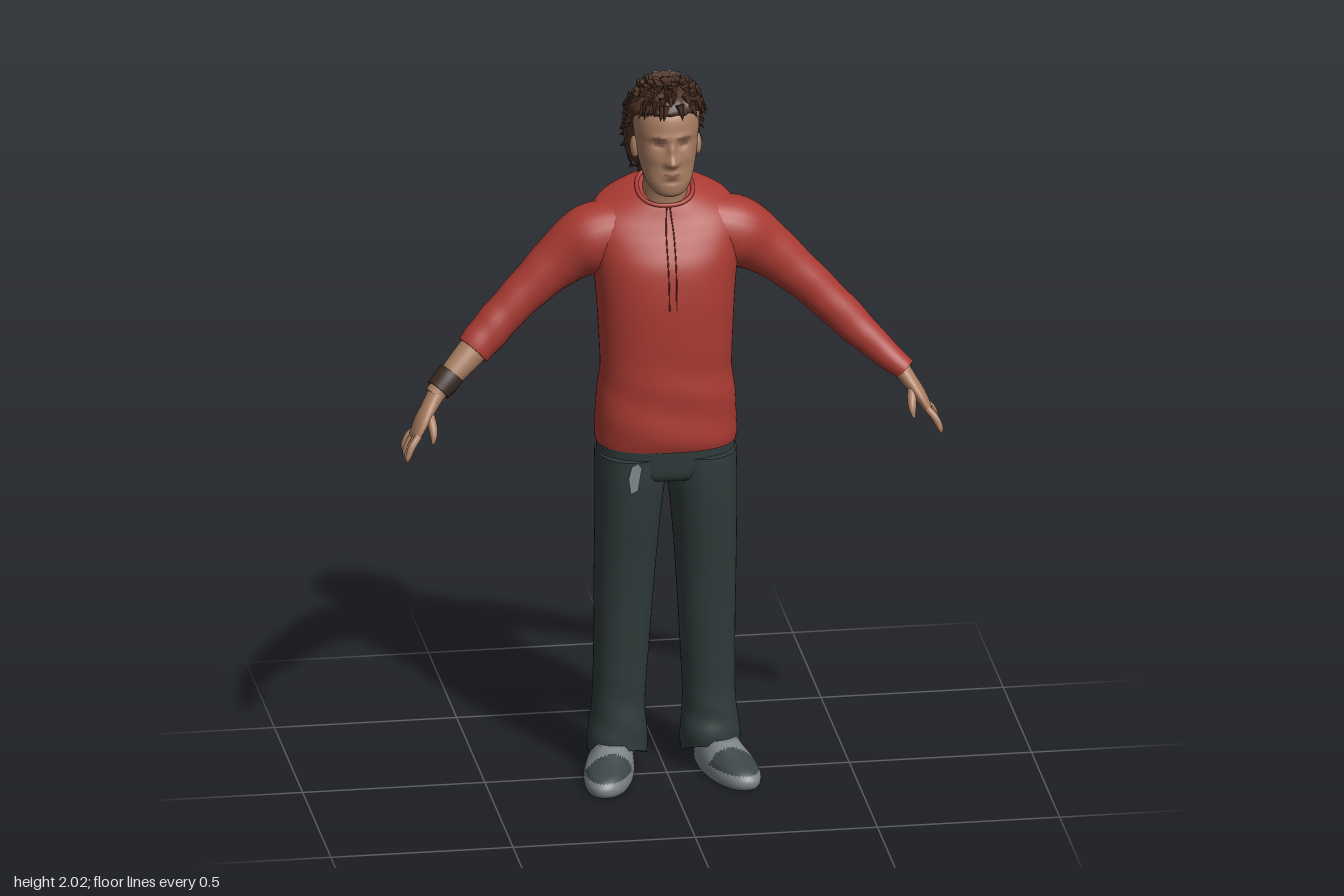
import * as THREE from 'three';
import { mergeGeometries } from 'three/addons/utils/BufferGeometryUtils.js';

const mat = (name, color) => {
  const m = new THREE.MeshStandardMaterial({ color, side: THREE.DoubleSide });
  m.name = name;
  return m;
};
const V = (x, y, z) => new THREE.Vector3(x, y, z);

// Smooth interpolation of table rows
function refine(rows, steps) {
  const out = [], last = rows.length - 1;
  for (let i = 0; i < last; i++) {
    const [p, a, b, q] = [i - 1, i, i + 1, i + 2].map(k => rows[Math.min(last, Math.max(0, k))]);
    for (let s = 0; s < steps; s++) {
      const t = s / steps;
      out.push(a.map((v, k) => v + 0.5 * t * (b[k] - p[k] + t * (2 * p[k] - 5 * v + 4 * b[k] - q[k]
        + t * (3 * (v - b[k]) + q[k] - p[k])))));
    }
  }
  out.push(rows[last]);
  return out;
}

const spow = (v, e) => Math.sign(v) * Math.abs(v) ** e;

// Rings stacked upward; row = [y, centre x, half width, front z, back z]
function stack(rows, { steps = 5, segs = 48, n = 2, warp } = {}) {
  return refine(rows, steps).map(([y, cx, rx, zf, zb]) => Array.from({ length: segs }, (_, j) => {
    const a = j / segs * Math.PI * 2;
    const p = V(cx + rx * spow(Math.sin(a), 2 / n), y, (zf + zb) / 2 + (zf - zb) / 2 * spow(Math.cos(a), 2 / n));
    if (warp) warp(p, a);
    return p;
  }));
}

// Rings along a limb; row = [x, y, z, thickness, width along z]
function limb(rows, side, { steps = 5, segs = 24, warp } = {}) {
  const pts = refine(rows, steps).map(r => [r[0] * side, ...r.slice(1)]);
  return pts.map(([x, y, z, ru, rv], i) => {
    const a = pts[Math.max(0, i - 1)], b = pts[Math.min(pts.length - 1, i + 1)];
    const t = V(b[0] - a[0], b[1] - a[1], b[2] - a[2]).normalize();
    const v = V(0, 0, 1).addScaledVector(t, -t.z).normalize();
    const u = t.clone().cross(v);
    return Array.from({ length: segs }, (_, j) => {
      const w = j / segs * Math.PI * 2, k = warp ? warp(i / pts.length, w) : 1;
      return V(x, y, z).addScaledVector(u, Math.sin(w) * ru * k).addScaledVector(v, Math.cos(w) * rv * k);
    });
  });
}

// Closed skin over rings; paint(centroid) chooses a material index
function skinOver(rings, paint) {
  const n = rings[0].length, mid = r => r.reduce((s, p) => s.add(p), V(0, 0, 0)).divideScalar(n);
  const first = rings[0], end = rings[rings.length - 1];
  const all = [first.map(() => mid(first)), first, ...rings, end, end.map(() => mid(end))];
  const pts = all.flat(), buckets = [[], []];
  for (let i = 0; i < all.length - 1; i++) {
    if (i === 1 || i === all.length - 3) continue;
    for (let j = 0; j < n; j++) {
      const a = i * n + j, b = i * n + (j + 1) % n, c = b + n, d = a + n;
      for (const tri of [[a, b, c], [a, c, d]]) {
        const m = V(0, 0, 0);
        tri.forEach(k => m.addScaledVector(pts[k], 1 / 3));
        buckets[paint ? paint(m) : 0].push(...tri);
      }
    }
  }
  const g = new THREE.BufferGeometry().setFromPoints(pts);
  g.setIndex(buckets.flat());
  if (paint) {
    g.addGroup(0, buckets[0].length, 0);
    g.addGroup(buckets[0].length, buckets[1].length, 1);
  }
  g.computeVertexNormals();
  return g;
}

export function createModel() {
  const red = mat('shirtRed', 0xa93a32), seamRed = mat('seamRed', 0x7d2a25), skin = mat('skin', 0xa97d62);
  const deepSkin = mat('deepSkin', 0x85594a), hairBrown = mat('hairBrown', 0x4a3024);
  const leather = mat('leather', 0x3a2a22), cloth = mat('trouserCloth', 0x303c3b);
  const grey = mat('shoeGrey', 0x7c8386), dark = mat('shoeDark', 0x3c4546), pale = mat('wornCloth', 0x858c8c);
  const model = new THREE.Group();
  const add = (name, geo, m) => {
    const mesh = new THREE.Mesh(geo, m);
    mesh.name = name;
    model.add(mesh);
    return mesh;
  };

  // Shirt body, with the neck opening sloping down to the front
  const torso = stack([
    [0.965, 0, 0.191, 0.105, -0.165], [1.0, 0, 0.194, 0.111, -0.169], [1.1, 0, 0.189, 0.112, -0.164],
    [1.18, 0, 0.18, 0.11, -0.157], [1.3, 0, 0.184, 0.112, -0.165], [1.4, 0, 0.19, 0.11, -0.175],
    [1.5, 0, 0.2, 0.096, -0.18], [1.58, 0, 0.206, 0.072, -0.172], [1.625, 0, 0.19, 0.052, -0.158],
    [1.655, 0, 0.14, 0.036, -0.14], [1.675, 0, 0.1, 0.026, -0.122], [1.685, 0, 0.076, 0.02, -0.11],
  ], {
    segs: 64, n: 2.3, warp: p => {
      p.y -= 0.5 * (p.z + 0.045) * THREE.MathUtils.smoothstep(p.y, 1.45, 1.68);
      p.z += 0.003 * Math.sin(p.y * 45 + p.x * 12) * (1 - THREE.MathUtils.smoothstep(p.y, 1.1, 1.3));
    },
  });
  add('shirtBody', skinOver(torso), red);
  add('collar', new THREE.TubeGeometry(new THREE.CatmullRomCurve3(torso[torso.length - 1], true), 64, 0.006, 8, true), red);
  for (const [s, j] of [[1, 1], [-1, 63]]) {
    const line = torso.filter(r => r[0].y > 1.38).map(r => r[0].clone().lerp(r[j], 0.4));
    add(s > 0 ? 'leftPlacketSeam' : 'rightPlacketSeam',
      new THREE.TubeGeometry(new THREE.CatmullRomCurve3(line), 40, 0.0018, 6), seamRed);
  }

  // Sleeves: long on the left, pushed up on the right
  const upper = [[0.12, 1.56, -0.06, 0.09, 0.09], [0.2, 1.535, -0.064, 0.098, 0.094], [0.27, 1.492, -0.066, 0.08, 0.073],
    [0.34, 1.435, -0.06, 0.065, 0.06], [0.42, 1.36, -0.05, 0.056, 0.055]];
  const folds = (t, w) => 1 + 0.025 * Math.sin(t * 42 + 2 * Math.sin(w)) * t;
  add('leftSleeve', skinOver(limb([...upper, [0.5, 1.278, -0.032, 0.052, 0.05], [0.57, 1.21, -0.004, 0.043, 0.041],
    [0.65, 1.143, 0.032, 0.031, 0.034]], 1, { warp: folds })), red);
  add('rightSleeve', skinOver(limb([...upper, [0.48, 1.3, -0.035, 0.055, 0.052], [0.53, 1.25, -0.018, 0.05, 0.047]],
    -1, { warp: folds })), red);
  add('rightForearm', skinOver(limb([[0.47, 1.305, -0.038, 0.04, 0.04], [0.53, 1.25, -0.018, 0.041, 0.041],
    [0.59, 1.195, 0.008, 0.034, 0.036], [0.645, 1.143, 0.03, 0.026, 0.03]], -1)), skin);
  add('wristband', skinOver(limb([[0.592, 1.196, 0.008, 0.038, 0.039], [0.61, 1.177, 0.016, 0.038, 0.039],
    [0.632, 1.156, 0.025, 0.035, 0.037]], -1)), leather);

  // Head with nose, brow, sockets, lips and cheeks pushed out of one surface
  const bump = (p, x, y, sx, sy) => Math.exp(-(((Math.abs(p.x) - x) / sx) ** 2) - ((p.y - y) / sy) ** 2);
  const spot = (p, x, y, w, h) => ((Math.abs(p.x) - x) / w) ** 2 + ((p.y - y) / h) ** 2 < 1;
  const head = stack([
    [1.697, 0, 0.026, 0.072, 0.01], [1.708, 0, 0.046, 0.085, -0.02], [1.735, 0, 0.063, 0.09, -0.05],
    [1.77, 0, 0.074, 0.087, -0.085], [1.81, 0, 0.082, 0.086, -0.11], [1.85, 0, 0.086, 0.087, -0.125],
    [1.89, 0, 0.09, 0.087, -0.13], [1.93, 0, 0.087, 0.077, -0.125], [1.965, 0, 0.066, 0.045, -0.1],
    [1.982, 0, 0.03, 0.0, -0.06],
  ], {
    steps: 7, segs: 96, n: 2.15, warp: p => {
      if (p.z < 0.02) return;
      p.z += 0.029 * bump(p, 0, 1.803, 0.014, 0.016) + 0.014 * bump(p, 0, 1.835, 0.01, 0.025)
        + 0.007 * bump(p, 0.014, 1.798, 0.008, 0.009) - 0.01 * bump(p, 0.034, 1.85, 0.018, 0.012)
        + 0.005 * bump(p, 0.03, 1.872, 0.03, 0.009) + 0.009 * bump(p, 0, 1.765, 0.022, 0.012)
        - 0.004 * bump(p, 0, 1.745, 0.02, 0.006) + 0.004 * bump(p, 0.045, 1.81, 0.02, 0.02);
    },
  });
  add('head', skinOver(head, p => +(p.z > 0.03 && (spot(p, 0.034, 1.849, 0.013, 0.005)
    || spot(p, 0.034, 1.871, 0.02, 0.004) || spot(p, 0, 1.766, 0.021, 0.006)))), [skin, deepSkin]);
  add('neck', skinOver(stack([[1.59, 0, 0.072, 0.015, -0.115], [1.66, 0, 0.063, 0.018, -0.108],
    [1.7, 0, 0.06, 0.026, -0.103], [1.76, 0, 0.062, 0.04, -0.1]])), skin);

  // Hair cap with ridges, then pointed locks scattered over it
  const hair = stack([
    [1.715, 0, 0.055, -0.095, -0.14], [1.73, 0, 0.08, -0.07, -0.153], [1.77, 0, 0.096, -0.045, -0.157],
    [1.82, 0, 0.102, -0.032, -0.158], [1.87, 0, 0.106, -0.015, -0.157], [1.905, 0, 0.106, 0.03, -0.153],
    [1.935, 0, 0.101, 0.078, -0.143], [1.962, 0, 0.084, 0.066, -0.122], [1.985, 0, 0.05, 0.03, -0.085],
    [1.993, 0, 0.012, -0.015, -0.04],
  ], {
    segs: 72, n: 2.1, warp: (p, a) => {
      const k = 1 + 0.025 * Math.sin(a * 18 + p.y * 40) + 0.015 * Math.sin(p.y * 150 + a * 5);
      p.x *= k;
      p.z = (p.z + 0.04) * k - 0.04;
    },
  });
  add('hairCap', skinOver(hair), hairBrown);
  let seed = 7;
  const rnd = () => (seed = (seed * 16807) % 2147483647) / 2147483647;
  const locks = [];
  for (let i = 0; i < 230; i++) {
    const p = hair[2 + Math.floor(rnd() * (hair.length - 4))][Math.floor(rnd() * 72)];
    if (p.z > -0.035 && p.y < 1.925) continue;
    const out = V(p.x, (p.y - 1.86) * 0.9, p.z + 0.045).normalize();
    const dir = V(out.x * 0.5, -0.75 + rnd() * 0.3, out.z * 0.5 - 0.3).normalize();
    const g = new THREE.ConeGeometry(0.011 + rnd() * 0.004, 0.045, 5).toNonIndexed();
    g.computeVertexNormals();
    g.applyQuaternion(new THREE.Quaternion().setFromUnitVectors(V(0, 1, 0), dir));
    g.translate(p.x, p.y, p.z);
    locks.push(g);
  }
  add('hairLocks', mergeGeometries(locks), hairBrown);

  // Trousers seat
  add('trouserSeat', skinOver(stack([[0.875, 0, 0.17, 0.08, -0.135], [0.9, 0, 0.186, 0.093, -0.15],
    [0.985, 0, 0.189, 0.1, -0.161]], { n: 2.3 })), cloth);

  for (const s of [1, -1]) {
    const side = s > 0 ? 'left' : 'right';
    const ear = add(side + 'Ear', new THREE.SphereGeometry(1, 16, 12), skin);
    ear.scale.set(0.011, 0.03, 0.019);
    ear.position.set(s * 0.087, 1.815, -0.018);
    ear.rotation.set(-0.2, s * -0.3, 0);

    // Hand: palm, four fingers and thumb
    add(side + 'Palm', skinOver(limb([[0.63, 1.158, 0.024, 0.025, 0.029], [0.66, 1.115, 0.044, 0.021, 0.032],
      [0.684, 1.08, 0.062, 0.018, 0.042], [0.702, 1.048, 0.075, 0.013, 0.042], [0.708, 1.036, 0.079, 0.006, 0.034]], s)), skin);
    for (let k = -1.5; k < 2; k++) {
      const drop = 0.008 * Math.abs(k - 0.3);
      add(side + 'Finger', skinOver(limb([[0.698, 1.055, 0.075 + 0.02 * k, 0.01, 0.01], [0.718, 1.022 + drop, 0.083 + 0.025 * k, 0.01, 0.01],
        [0.73, 0.996 + drop, 0.087 + 0.028 * k, 0.008, 0.008], [0.733, 0.982 + drop, 0.089 + 0.029 * k, 0.002, 0.002]], s, { segs: 12 })), skin);
    }
    add(side + 'Thumb', skinOver(limb([[0.664, 1.108, 0.06, 0.013, 0.015], [0.658, 1.08, 0.09, 0.013, 0.013],
      [0.657, 1.055, 0.108, 0.01, 0.01], [0.66, 1.034, 0.118, 0.003, 0.003]], s, { segs: 12 })), skin);

    // Trouser leg, hem raised over the shoe
    add(side + 'TrouserLeg', skinOver(stack([
      [0.04, s * 0.126, 0.078, 0.026, -0.148], [0.09, s * 0.127, 0.082, 0.03, -0.152], [0.2, s * 0.124, 0.072, 0.022, -0.145],
      [0.4, s * 0.117, 0.076, 0.038, -0.134], [0.6, s * 0.111, 0.083, 0.06, -0.13], [0.75, s * 0.105, 0.089, 0.083, -0.136],
      [0.86, s * 0.099, 0.095, 0.096, -0.15], [0.94, s * 0.097, 0.095, 0.1, -0.16],
    ], {
      n: 2.2, warp: p => {
        p.y += Math.max(0, p.z + 0.06) * 0.45 * (1 - THREE.MathUtils.smoothstep(p.y, 0.05, 0.2));
        p.z += 0.003 * Math.sin(p.y * 60 + p.x * 20) * (1 - THREE.MathUtils.smoothstep(p.y, 0.2, 0.5));
      },
    })), cloth);

    // Shoe, turned out, with dark toe panel and sole
    add(side + 'Shoe', skinOver(stack([
      [0, s * 0.158, 0.064, 0.172, -0.132], [0.012, s * 0.158, 0.069, 0.18, -0.14], [0.03, s * 0.158, 0.069, 0.178, -0.14],
      [0.05, s * 0.156, 0.064, 0.155, -0.136], [0.07, s * 0.152, 0.055, 0.1, -0.128], [0.095, s * 0.148, 0.045, 0.045, -0.12],
    ], { n: 2.2, warp: p => { p.x += s * p.z * 0.2; } }),
    p => +(p.y < 0.002 || (p.y > 0.04 && p.z > 0.065))), [grey, dark]);
  }

  // Worn patch on the right thigh
  const patch = new THREE.Shape([[-0.012, -0.045], [0.008, -0.035], [0.018, 0.03], [0.008, 0.045], [-0.01, 0.035], [-0.018, 0]]
    .map(([x, y]) => new THREE.Vector2(x, y)));
  const worn = add('wornPatch', new THREE.ExtrudeGeometry(patch, { depth: 0.004, bevelEnabled: false }), pale);
  worn.position.set(-0.103, 0.895, 0.098);
  worn.rotation.x = 0.05;
  return model;
}
